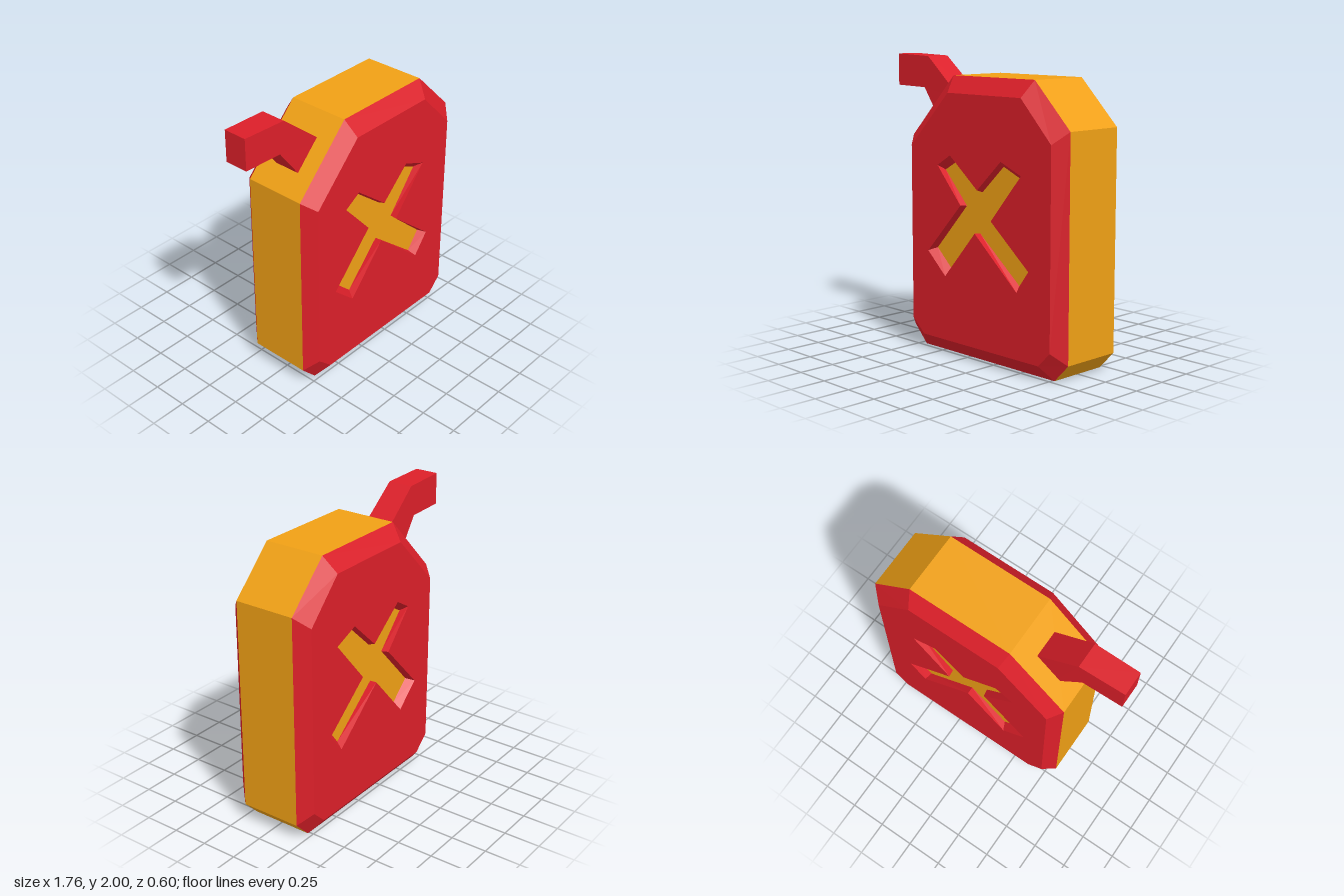
import * as THREE from 'three';

const red = new THREE.MeshStandardMaterial({ color: 0xdc1f29, flatShading: true });
const yellow = new THREE.MeshStandardMaterial({ color: 0xf0a015, flatShading: true });

// Outlines, counter-clockwise seen from the front
const outer = [[-0.57, 0.12], [-0.455, 0], [0.765, 0], [0.88, 0.12], [0.88, 1.58], [0.58, 1.88], [-0.16, 1.88], [-0.57, 1.46]];
const inner = [[-0.495, 0.2], [-0.385, 0.1], [0.7, 0.1], [0.8, 0.2], [0.8, 1.5], [0.54, 1.77], [-0.13, 1.77], [-0.495, 1.4]];
const crossRim = [[-0.233, 1.286], [-0.01, 1.037], [-0.333, 0.693], [-0.164, 0.54], [0.125, 0.868], [0.508, 0.54],
  [0.62, 0.683], [0.275, 0.968], [0.545, 1.286], [0.365, 1.36], [0.148, 1.155], [-0.11, 1.36]];
const crossFloor = [[-0.206, 1.254], [0, 1.032], [-0.291, 0.714], [-0.143, 0.577], [0.125, 0.865], [0.487, 0.571],
  [0.582, 0.698], [0.28, 0.968], [0.508, 1.254], [0.344, 1.323], [0.148, 1.138], [-0.085, 1.323]];

const at = (outline, z) => outline.map(([x, y]) => [x, y, z]);
const vectors = (outline) => outline.map(([x, y]) => new THREE.Vector2(x, y));

function mesh(name, geometry, material) {
  const m = new THREE.Mesh(geometry, material);
  m.name = name;
  return m;
}

function triangles(points) {
  const g = new THREE.BufferGeometry();
  g.setAttribute('position', new THREE.Float32BufferAttribute(points.flat(), 3));
  g.computeVertexNormals();
  return g;
}

// Flat-sided band between two rings; "sides" can pick single sides
function band(a, b, sides = a.map((_, i) => i)) {
  return triangles(sides.flatMap((i) => {
    const j = (i + 1) % a.length;
    return [a[i], b[i], b[j], a[i], b[j], a[j]];
  }));
}

// Flat panel at depth z, turned to the back when z is negative
function panel(outline, z, hole) {
  const shape = new THREE.Shape(vectors(outline));
  if (hole) shape.holes.push(new THREE.Path(vectors(hole)));
  const g = new THREE.ShapeGeometry(shape);
  g.translate(0, 0, z);
  if (z < 0) {
    g.index.array.reverse();
    g.computeVertexNormals();
  }
  return g;
}

export function createModel() {
  const model = new THREE.Group();
  model.name = 'fuelCan';
  const edgeZ = 0.216, faceZ = 0.3, floorZ = 0.25;

  // Side band around the can
  model.add(mesh('sideBand', band(at(outer, edgeZ), at(outer, -edgeZ)), yellow));

  // Front and back: bevel, panel with cross opening, recess walls and floor
  for (const s of [1, -1]) {
    const side = new THREE.Group();
    side.name = s > 0 ? 'frontFace' : 'backFace';
    const facing = (a, b) => (s > 0 ? band(a, b) : band(b, a));
    side.add(
      mesh('bevel', facing(at(inner, s * faceZ), at(outer, s * edgeZ)), red),
      mesh('facePanel', panel(inner, s * faceZ, crossRim), red),
      mesh('recessWalls', facing(at(crossFloor, s * floorZ), at(crossRim, s * faceZ)), red),
      mesh('recessFloor', panel(crossFloor, s * floorZ), yellow),
    );
    model.add(side);
  }

  // Bent spout: square sections from the tip down into the sloping shoulder
  const section = (top, bottom, w) => [[...bottom, -w], [...bottom, w], [...top, w], [...top, -w]];
  const tip = section([-0.88, 2], [-0.88, 1.78], 0.083);
  const elbow = section([-0.56, 1.99], [-0.6, 1.775], 0.088);
  const root = section([-0.22, 1.71], [-0.41, 1.52], 0.096);
  const spout = new THREE.Group();
  spout.name = 'spout';
  spout.add(
    mesh('spoutEnd', band(tip, elbow, [1, 2, 3]), red),
    mesh('spoutUnderside', band(tip, elbow, [0]), yellow),
    mesh('spoutNeck', band(elbow, root), red),
    mesh('spoutCap', triangles([tip[0], tip[1], tip[2], tip[0], tip[2], tip[3]]), red),
  );
  model.add(spout);
  return model;
}
